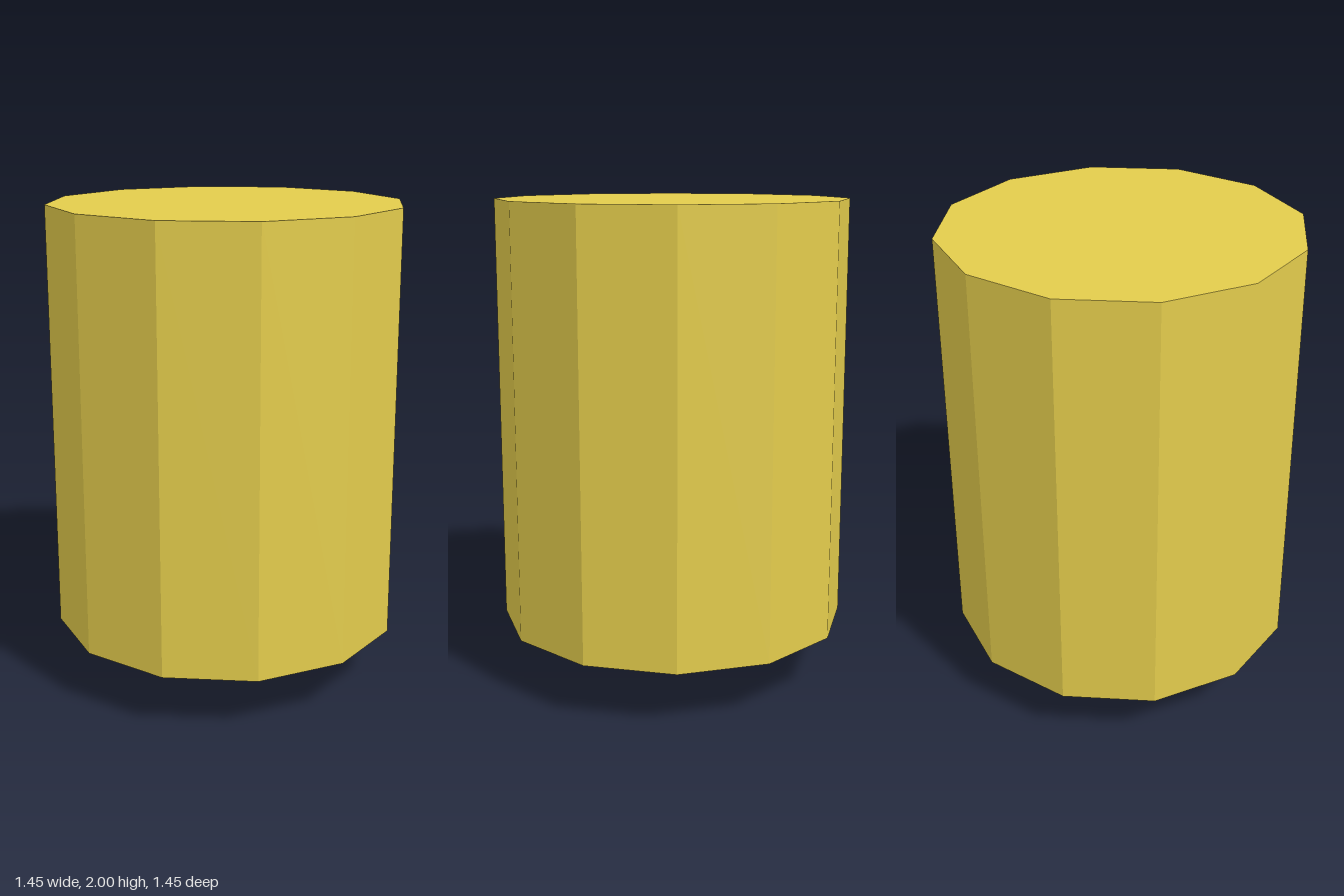
import * as THREE from 'three';

const SIDES = 12;
const yellow = new THREE.MeshStandardMaterial({ color: 0xe3cc4c, flatShading: true });
const black = new THREE.MeshStandardMaterial({ color: 0x2a2a2a, flatShading: true });

// Straight rod between two points
function rod(a, b, radius, material) {
  const dir = b.clone().sub(a);
  const mesh = new THREE.Mesh(new THREE.CylinderGeometry(radius, radius, dir.length(), 6), material);
  mesh.position.copy(a).add(b).multiplyScalar(0.5);
  mesh.quaternion.setFromUnitVectors(new THREE.Vector3(0, 1, 0), dir.normalize());
  return mesh;
}

export function createModel() {
  const model = new THREE.Group();
  model.name = 'lampshade';

  // Thick-walled drum, closed on top and open below
  const outer = 0.725, inner = 0.655, bottom = 0.235, top = 2, ceiling = 1.93;
  const profile = [
    [0, ceiling], [inner, ceiling], [inner, bottom],
    [outer, bottom], [outer, top], [0, top],
  ].map(([r, y]) => new THREE.Vector2(r, y));
  const shade = new THREE.Mesh(new THREE.LatheGeometry(profile, SIDES), yellow);
  shade.name = 'shade';
  model.add(shade);

  // Small fitting ring below the shade
  const ring = new THREE.Mesh(new THREE.TorusGeometry(0.143, 0.0165, 6, SIDES), black);
  ring.name = 'fittingRing';
  ring.rotation.x = Math.PI / 2;
  ring.position.y = 0.0145;
  model.add(ring);

  // Three wire spokes from the ring up to the inner wall
  for (let i = 0; i < 3; i++) {
    const angle = Math.PI + (i * 2 * Math.PI) / 3;
    const at = (r, y) => new THREE.Vector3(r * Math.cos(angle), y, r * Math.sin(angle));
    const spoke = rod(at(0.143, 0.023), at(0.655, 0.25), 0.012, black);
    spoke.name = `spoke${i + 1}`;
    model.add(spoke);
  }

  return model;
}
